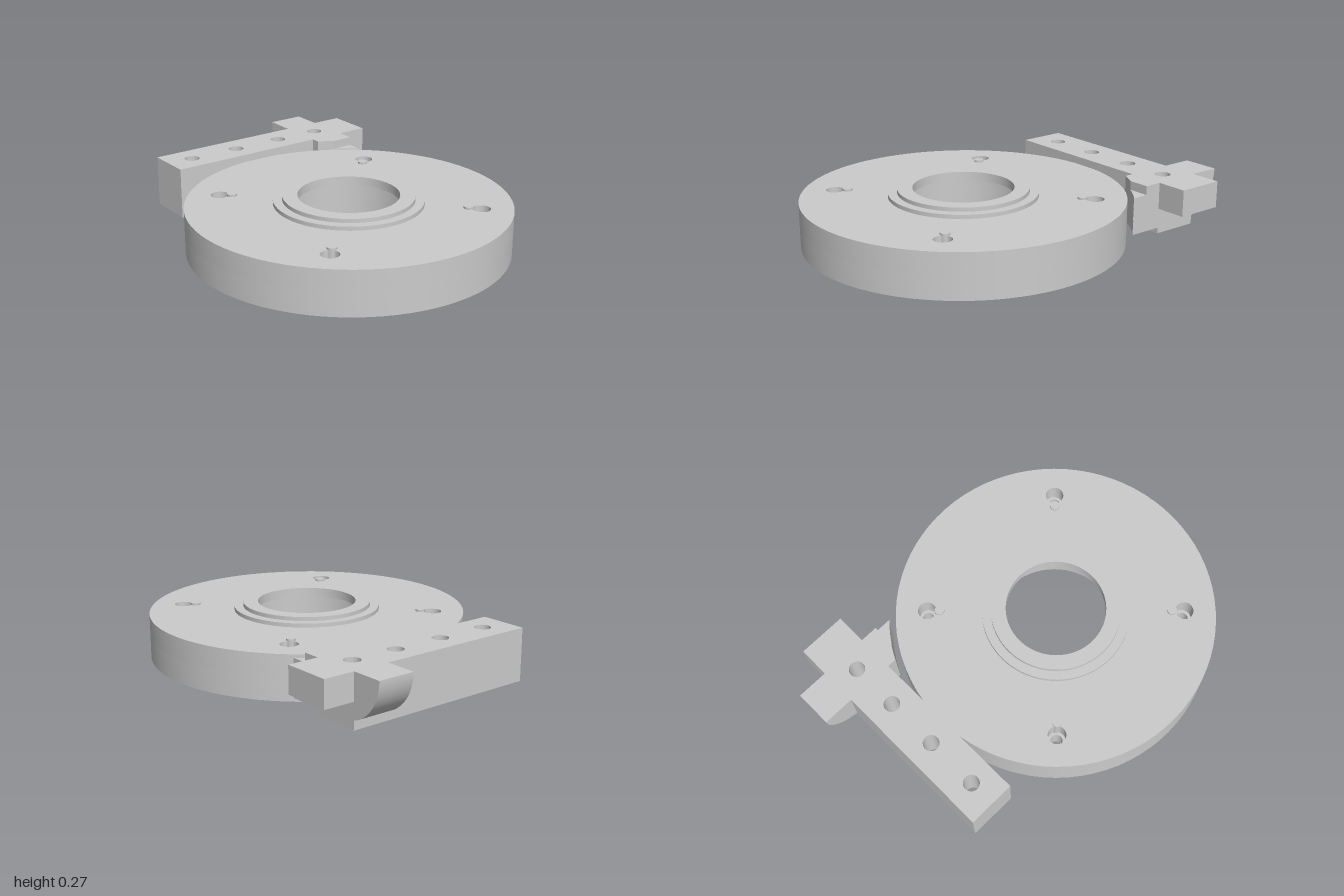
import * as THREE from 'three';
import { toCreasedNormals } from 'three/addons/utils/BufferGeometryUtils.js';

const material = new THREE.MeshStandardMaterial({ color: 0xcccccc });
const CX = 0.2; // disc centre on x
const TOP = 0.265;

function addMesh(group, name, geometry) {
  const mesh = new THREE.Mesh(geometry, material);
  mesh.name = name;
  group.add(mesh);
  return mesh;
}

function circle(x, z, r, PathType = THREE.Path) {
  const path = new PathType();
  path.absarc(x, -z, r, 0, Math.PI * 2, false);
  return path;
}

// Plan outline from [x, z] corners
function outline(points) {
  return new THREE.Shape(points.map(([x, z]) => new THREE.Vector2(x, -z)));
}

// Raise a plan shape from y0 to y1
function slab(shape, y0, y1) {
  const g = new THREE.ExtrudeGeometry(shape, { depth: y1 - y0, bevelEnabled: false, curveSegments: 40 });
  g.rotateX(-Math.PI / 2).translate(0, y0, 0);
  return toCreasedNormals(g, 0.5);
}

// z on the clearance arc around the disc for a given x
const clearance = (x) => -Math.sqrt(0.833 ** 2 - (x - CX) ** 2);

// Inner wing plan, cut by the clearance arc and ending at xEnd
function wingPlan(xEnd) {
  const points = [[-0.6, -0.365], [-0.6, -0.555], [xEnd, -0.555]];
  for (let i = 0; i <= 10; i++) {
    const x = THREE.MathUtils.lerp(xEnd, -0.549, i / 10);
    points.push([x, clearance(x)]);
  }
  return outline(points);
}

export function createModel() {
  const model = new THREE.Group();
  const corners = [[-1, -1], [1, -1], [1, 1], [-1, 1]];

  // Disc: lower layer with bolt and blind holes, upper layer with counterbores
  const disc = new THREE.Group();
  disc.name = 'disc';
  model.add(disc);
  const lower = circle(CX, 0, 0.8, THREE.Shape);
  const upper = circle(CX, 0, 0.8, THREE.Shape);
  lower.holes.push(circle(CX, 0, 0.325));
  upper.holes.push(circle(CX, 0, 0.325));
  for (const [sx, sz] of corners) {
    lower.holes.push(circle(CX + sx * 0.455, sz * 0.455, 0.03));
    lower.holes.push(circle(CX + sx * 0.322, sz * 0.322, 0.027));
    upper.holes.push(circle(CX + sx * 0.455, sz * 0.455, 0.045));
  }
  addMesh(disc, 'discLower', slab(lower, 0, 0.12));
  addMesh(disc, 'discUpper', slab(upper, 0.12, 0.225));

  // Stepped collar with a narrow lip over the bore
  const profile = [
    [0.25, 0.22], [0.326, 0.22], [0.37, 0.22], [0.37, 0.245],
    [0.325, 0.245], [0.325, TOP], [0.25, TOP], [0.25, 0.22],
  ].map(([r, y]) => new THREE.Vector2(r, y));
  const collar = toCreasedNormals(new THREE.LatheGeometry(profile, 80), 0.5);
  addMesh(disc, 'collar', collar).position.x = CX;

  // Small pins beside the counterbores
  const pinGeometry = new THREE.CylinderGeometry(0.024, 0.024, 0.115, 24);
  for (const [sx, sz] of corners) {
    addMesh(disc, 'pin', pinGeometry).position.set(CX + sx * 0.411, 0.178, sz * 0.411);
  }

  // Side arm with a row of through holes
  const arm = new THREE.Group();
  arm.name = 'arm';
  model.add(arm);
  const bar = outline([[-0.84, 0.48], [-0.596, 0.48], [-0.596, -0.555], [-0.84, -0.555]]);
  for (const z of [-0.46, -0.21, 0.065, 0.34]) bar.holes.push(circle(-0.715, z, 0.04));
  addMesh(arm, 'armBar', slab(bar, 0, TOP));

  // Shallow tab at the back end
  const tab = addMesh(arm, 'backTab', new THREE.BoxGeometry(0.244, 0.135, 0.16));
  tab.position.set(-0.718, TOP - 0.0675, -0.635);

  // Outer wing with a rounded underside
  const outer = new THREE.Shape();
  outer.moveTo(-0.84, TOP);
  outer.lineTo(-1, TOP);
  outer.absarc(-0.769, TOP, 0.231, Math.PI, Math.PI + 1.259, false);
  outer.closePath();
  const outerGeometry = new THREE.ExtrudeGeometry(outer, { depth: 0.19, bevelEnabled: false, curveSegments: 24 });
  addMesh(arm, 'outerWing', toCreasedNormals(outerGeometry, 0.5)).position.z = -0.555;

  // Inner wing, stepped at the top and hollowed to clear the disc
  addMesh(arm, 'innerWingLower', slab(wingPlan(-0.42), 0.03, 0.22));
  addMesh(arm, 'innerWingUpper', slab(wingPlan(-0.505), 0.22, TOP));

  return model;
}
